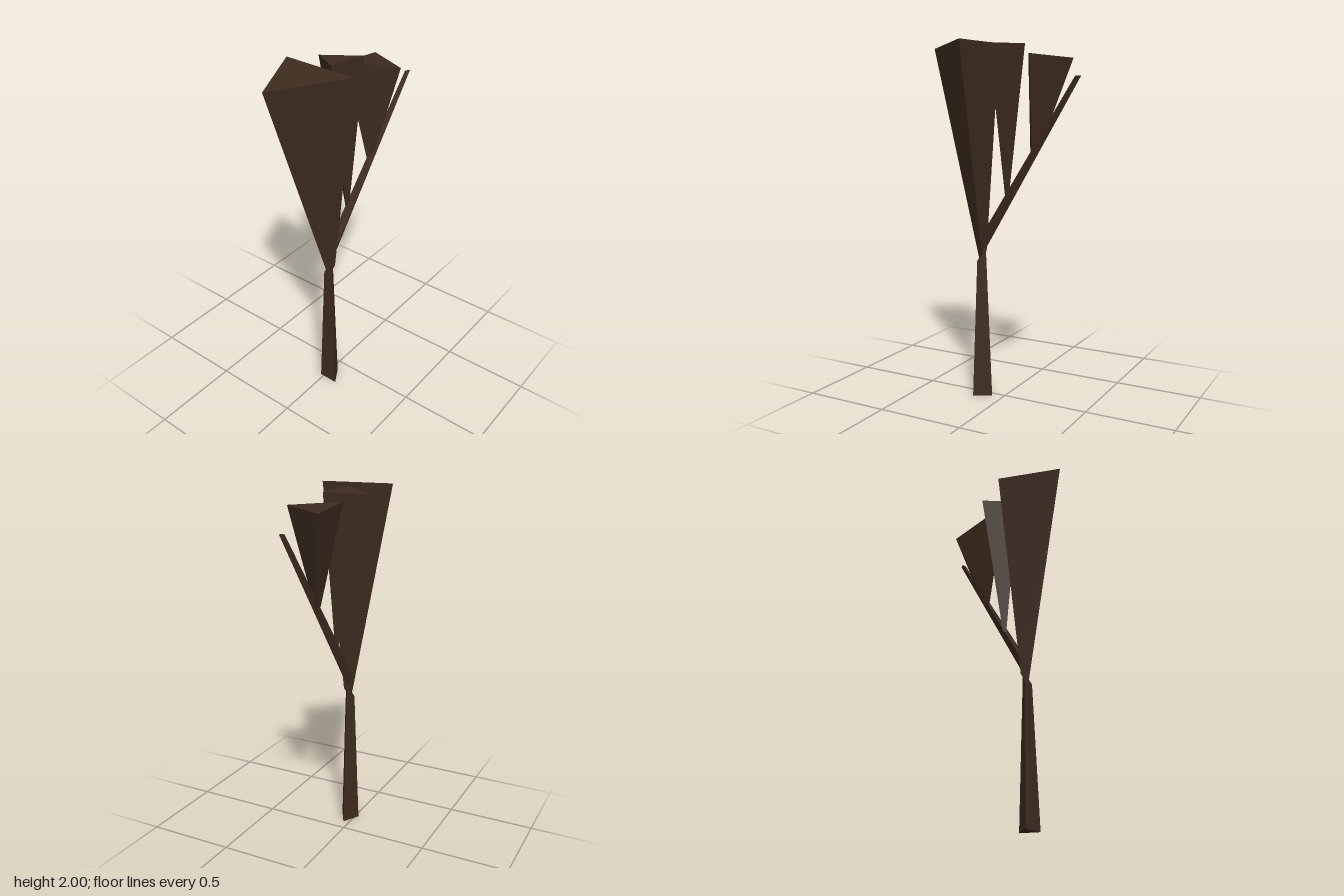
import * as THREE from 'three';
import { ConvexGeometry } from 'three/addons/geometries/ConvexGeometry.js';

// Three-sided tapered limb spanning a lower and an upper triangle
function limb(name, lower, upper, material) {
  const points = [...lower, ...upper].map((p) => new THREE.Vector3(...p));
  const mesh = new THREE.Mesh(new ConvexGeometry(points), material);
  mesh.name = name;
  return mesh;
}

export function createModel() {
  const bark = new THREE.MeshStandardMaterial({ color: 0x3d2b1f, flatShading: true });
  bark.name = 'dark bark';
  const tree = new THREE.Group();
  tree.name = 'tree';

  tree.add(
    // Trunk narrowing up to the fork
    limb('trunk',
      [[-0.16, 0, -0.02], [-0.16, 0, 0.09], [-0.065, 0, 0.035]],
      [[-0.145, 0.79, 0.004], [-0.145, 0.79, 0.06], [-0.105, 0.87, 0.032]], bark),
    // Main crown flaring upwards from the fork
    limb('mainCrown',
      [[-0.145, 0.78, 0.03], [-0.117, 0.84, 0.002], [-0.117, 0.84, 0.058]],
      [[-0.49, 1.97, -0.06], [-0.15, 2, -0.21], [-0.16, 2, 0.21]], bark),
    // Long thin side branch
    limb('sideBranch',
      [[-0.122, 0.93, 0.002], [-0.122, 0.93, 0.057], [-0.105, 0.86, 0.03]],
      [[0.458, 1.805, 0.083], [0.458, 1.805, 0.11], [0.485, 1.805, 0.097]], bark),
    // Two smaller crowns growing from the side branch
    limb('middleCrown',
      [[0.018, 1.15, 0.03], [0.042, 1.16, 0.034], [0.03, 1.15, 0.015]],
      [[-0.09, 1.99, 0.02], [0.143, 1.975, 0.045], [0.033, 1.965, -0.16]], bark),
    limb('outerCrown',
      [[0.178, 1.39, 0.045], [0.225, 1.41, 0.045], [0.2, 1.39, 0.068]],
      [[0.112, 1.93, -0.055], [0.376, 1.9, -0.055], [0.245, 1.915, 0.195]], bark),
  );
  return tree;
}
